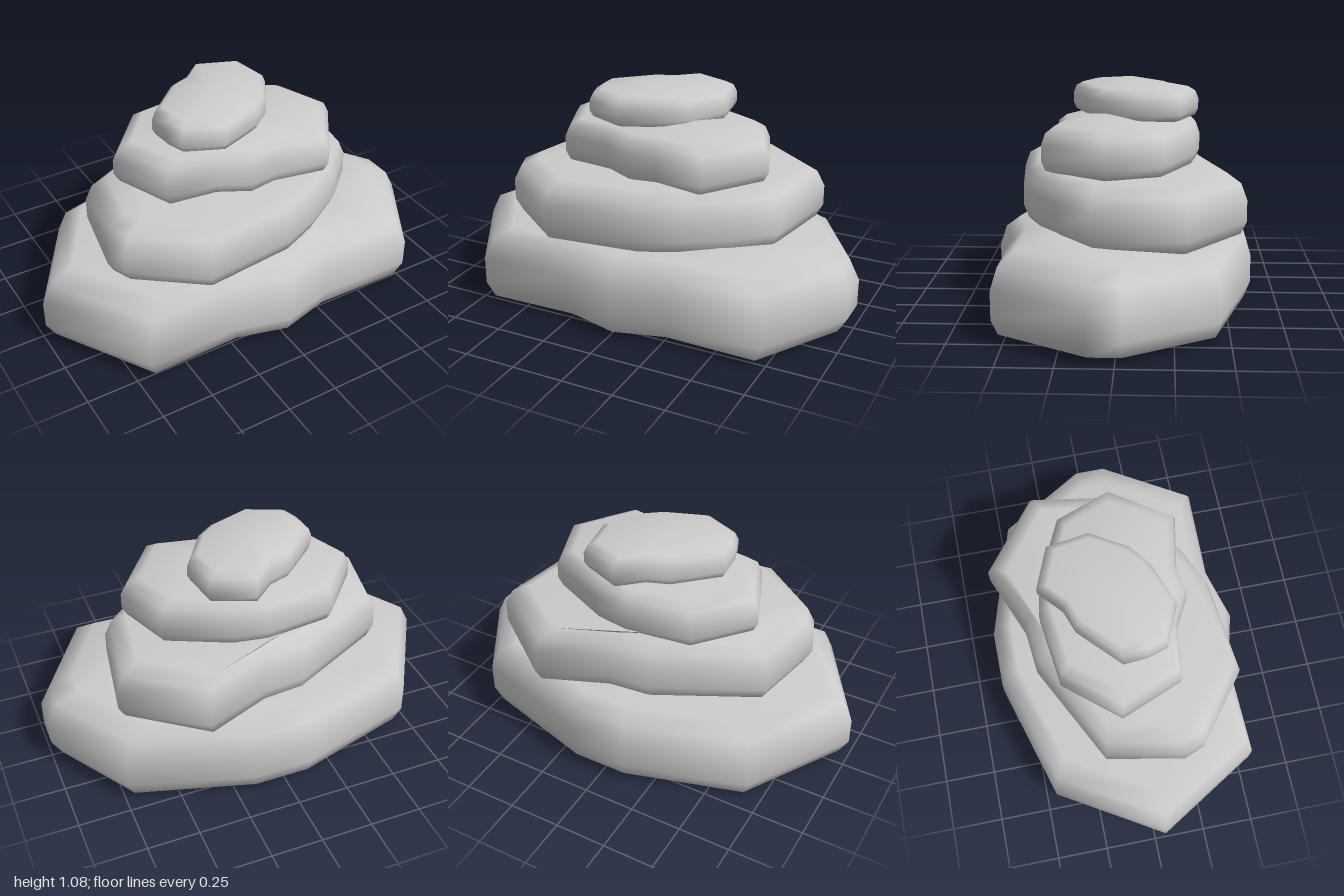
import * as THREE from 'three';

// Rounded edge profile shared by all stones: [height fraction, outline scale]
const PROFILE = [[0, 0.86], [0.08, 0.955], [0.28, 1], [0.62, 1], [0.87, 0.95], [1, 0.84]];

// Each stone: vertical extent, crown point and widest outline as [x, z], clockwise from above
const STONES = [
  {
    name: 'baseStone', y0: 0, y1: 0.39, crown: [0.43, 0.425, 0.28],
    outline: [[-1, 0.05], [-0.7, -0.45], [-0.12, -0.62], [0.16, -0.62], [0.74, -0.45], [1, -0.03],
      [1, 0.12], [0.74, 0.55], [0.28, 0.54], [0.02, 0.61], [-0.24, 0.54], [-0.7, 0.55]],
  },
  {
    name: 'secondStone', y0: 0.38, y1: 0.68, crown: [-0.2, 0.705, -0.3],
    outline: [[-0.65, -0.18], [-0.16, -0.43], [0.05, -0.45], [0.37, -0.58], [0.72, -0.31], [0.65, 0.12],
      [0.48, 0.28], [0.28, 0.4], [0.09, 0.48], [-0.37, 0.53], [-0.68, 0.29], [-0.72, 0.19]],
  },
  {
    name: 'thirdStone', y0: 0.675, y1: 0.895, crown: [0.18, 0.935, 0.07],
    outline: [[-0.54, -0.08], [-0.33, -0.33], [0, -0.37], [0.17, -0.34], [0.47, -0.2], [0.57, 0.07],
      [0.37, 0.36], [0.11, 0.31], [-0.03, 0.33], [-0.18, 0.25], [-0.42, 0.22]],
  },
  {
    name: 'topStone', y0: 0.9, y1: 1.045, crown: [-0.05, 1.08, -0.04],
    outline: [[-0.35, -0.04], [-0.16, -0.22], [-0.05, -0.26], [0.06, -0.36], [0.26, -0.28], [0.29, -0.08],
      [0.18, 0.1], [0.09, 0.17], [-0.13, 0.25], [-0.31, 0.17], [-0.34, 0.08]],
  },
];

// Loft the outline through the profile, closing the top at the crown and the underside at its centre
function stoneGeometry({ y0, y1, crown, outline }) {
  const n = outline.length;
  const box = new THREE.Box2().setFromPoints(outline.map(([x, z]) => new THREE.Vector2(x, z)));
  const c = box.getCenter(new THREE.Vector2());
  const positions = [];
  const index = [];

  for (const [t, s] of PROFILE) {
    for (const [x, z] of outline) {
      positions.push(c.x + (x - c.x) * s, y0 + (y1 - y0) * t, c.y + (z - c.y) * s);
    }
  }
  const last = (PROFILE.length - 1) * n;
  const under = PROFILE.length * n;
  const top = under + 1;
  positions.push(c.x, y0, c.y, ...crown);

  for (let i = 0; i < n; i++) {
    const k = (i + 1) % n;
    for (let r = 0; r < last; r += n) {
      index.push(r + i, r + n + i, r + k, r + k, r + n + i, r + n + k);
    }
    index.push(under, i, k, top, last + k, last + i);
  }

  const geometry = new THREE.BufferGeometry();
  geometry.setAttribute('position', new THREE.Float32BufferAttribute(positions, 3));
  geometry.setIndex(index);
  geometry.computeVertexNormals();
  return geometry;
}

export function createModel() {
  const group = new THREE.Group();
  group.name = 'stackedStones';
  const material = new THREE.MeshStandardMaterial({ color: 0xcccccc });
  for (const stone of STONES) {
    const mesh = new THREE.Mesh(stoneGeometry(stone), material);
    mesh.name = stone.name;
    group.add(mesh);
  }
  return group;
}
